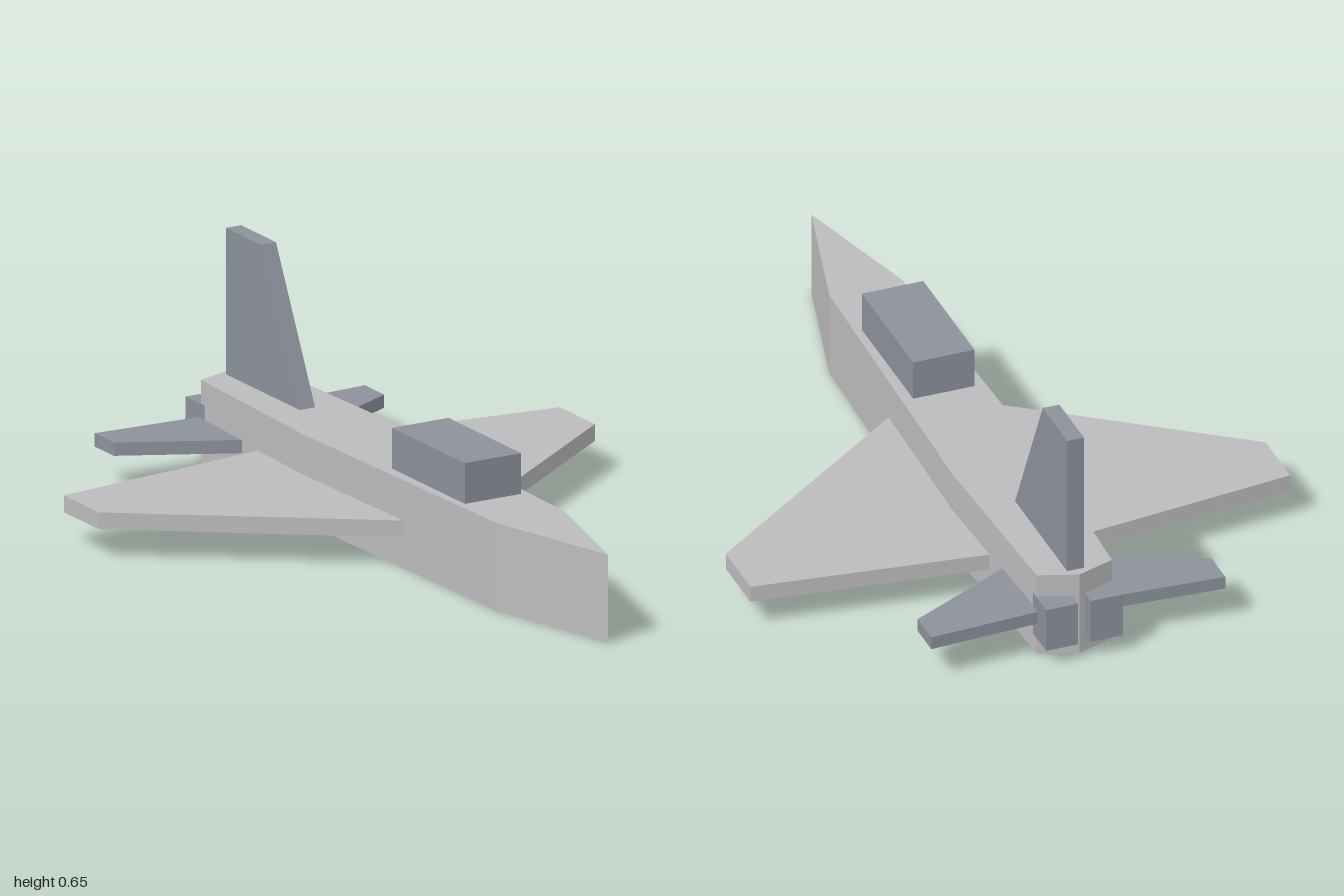
import * as THREE from 'three';

const lightGrey = new THREE.MeshStandardMaterial({ name: 'lightGrey', color: 0xbcbcbe });
const blueGrey = new THREE.MeshStandardMaterial({ name: 'blueGrey', color: 0x8c919b });

function add(group, name, geometry, material) {
  const mesh = new THREE.Mesh(geometry, material);
  mesh.name = name;
  group.add(mesh);
  return mesh;
}

// Flat slab from a plan outline of [x, z] points, between heights y0 and y1
function slab(points, y0, y1) {
  const shape = new THREE.Shape(points.map(([x, z]) => new THREE.Vector2(x, -z)));
  const geometry = new THREE.ExtrudeGeometry(shape, { depth: y1 - y0, bevelEnabled: false });
  return geometry.rotateX(-Math.PI / 2).translate(0, y0, 0);
}

function box(x0, x1, y0, y1, z0, z1) {
  return new THREE.BoxGeometry(x1 - x0, y1 - y0, z1 - z0)
    .translate((x0 + x1) / 2, (y0 + y1) / 2, (z0 + z1) / 2);
}

export function createModel() {
  const jet = new THREE.Group();
  jet.name = 'jet';

  // Fuselage: pointed nose, slight bulge at the wings, blunt tail
  const side = [[0.105, 0.6], [0.13, -0.36], [0.108, -0.925]];
  const mirrored = side.map(([x, z]) => [-x, z]).reverse();
  add(jet, 'fuselage', slab([[0, 1], ...side, [0, -0.963], ...mirrored], 0, 0.246), lightGrey);

  // Canopy block
  add(jet, 'canopy', box(-0.088, 0.088, 0.23, 0.36, 0.03, 0.405), blueGrey);

  // Tail fin: side outline in (-z, y), extruded across x
  const fin = new THREE.Shape([[0.55, 0.24], [0.935, 0.24], [0.935, 0.655], [0.755, 0.655]]
    .map(([x, y]) => new THREE.Vector2(x, y)));
  const finGeometry = new THREE.ExtrudeGeometry(fin, { depth: 0.048, bevelEnabled: false });
  add(jet, 'tailFin', finGeometry.translate(0, 0, -0.024).rotateY(Math.PI / 2), blueGrey);

  // Wings, tailplanes and engine nozzles on both sides
  for (const [label, s] of [['left', 1], ['right', -1]]) {
    const plan = (points) => points.map(([x, z]) => [s * x, z]);
    add(jet, label + 'Wing',
      slab(plan([[0.105, 0.145], [0.775, -0.35], [0.775, -0.53], [0.105, -0.613]]), 0.086, 0.133), lightGrey);
    add(jet, label + 'Tailplane',
      slab(plan([[0.1, -0.69], [0.422, -0.855], [0.422, -0.955], [0.1, -0.937]]), 0.102, 0.139), blueGrey);
    const nozzle = add(jet, label + 'Nozzle', box(-0.046, 0.046, 0.052, 0.18, -1, -0.904), blueGrey);
    nozzle.position.x = s * 0.064;
  }
  return jet;
}
